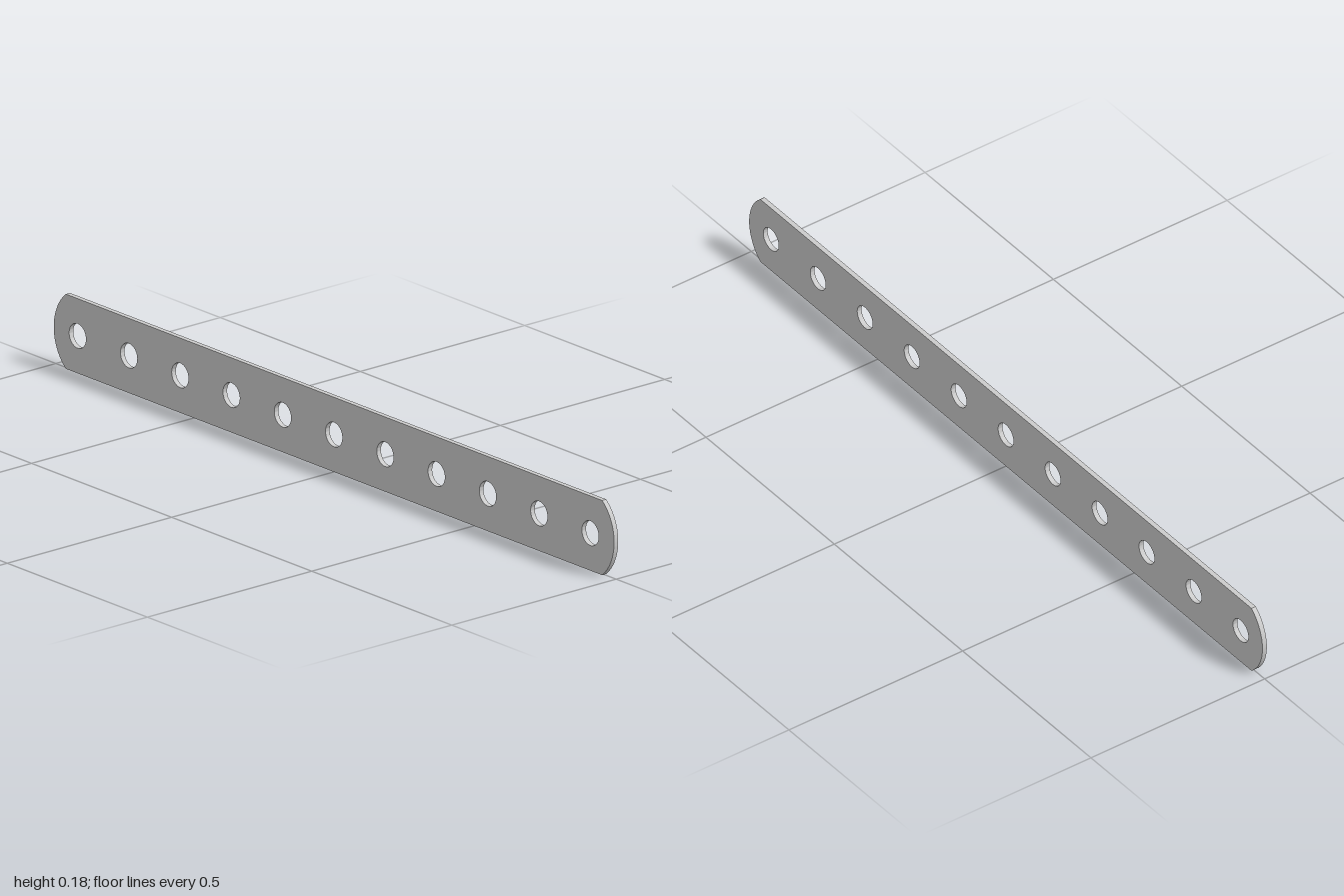
import * as THREE from 'three';
import { toCreasedNormals } from 'three/addons/utils/BufferGeometryUtils.js';

const HEIGHT = 0.183;      // also the hole pitch
const THICKNESS = 0.0125;
const HOLES = 11;
const HOLE_RADIUS = 0.03;
const END_RADIUS = 0.119;  // shallow arc at each end

export function createModel() {
  const group = new THREE.Group();
  group.name = 'perforatedStrip';

  // Outline: straight long edges joined by shallow end arcs
  const half = HEIGHT / 2;
  const centre = 1 - END_RADIUS;
  const angle = Math.asin(half / END_RADIUS);
  const outline = new THREE.Shape();
  outline.absarc(centre, half, END_RADIUS, -angle, angle, false);
  outline.absarc(-centre, half, END_RADIUS, Math.PI - angle, Math.PI + angle, false);
  outline.closePath();

  // Evenly spaced round holes
  for (let i = 0; i < HOLES; i++) {
    const x = (i - (HOLES - 1) / 2) * HEIGHT;
    const hole = new THREE.Path();
    hole.absarc(x, half, HOLE_RADIUS, 0, Math.PI * 2, true);
    outline.holes.push(hole);
  }

  const geometry = new THREE.ExtrudeGeometry(outline, {
    depth: THICKNESS, bevelEnabled: false, curveSegments: 32,
  });
  geometry.translate(0, 0, -THICKNESS / 2);

  const strip = new THREE.Mesh(
    toCreasedNormals(geometry, 0.5),
    new THREE.MeshStandardMaterial({ color: 0xcccccc }),
  );
  strip.name = 'strip';
  group.add(strip);
  return group;
}
